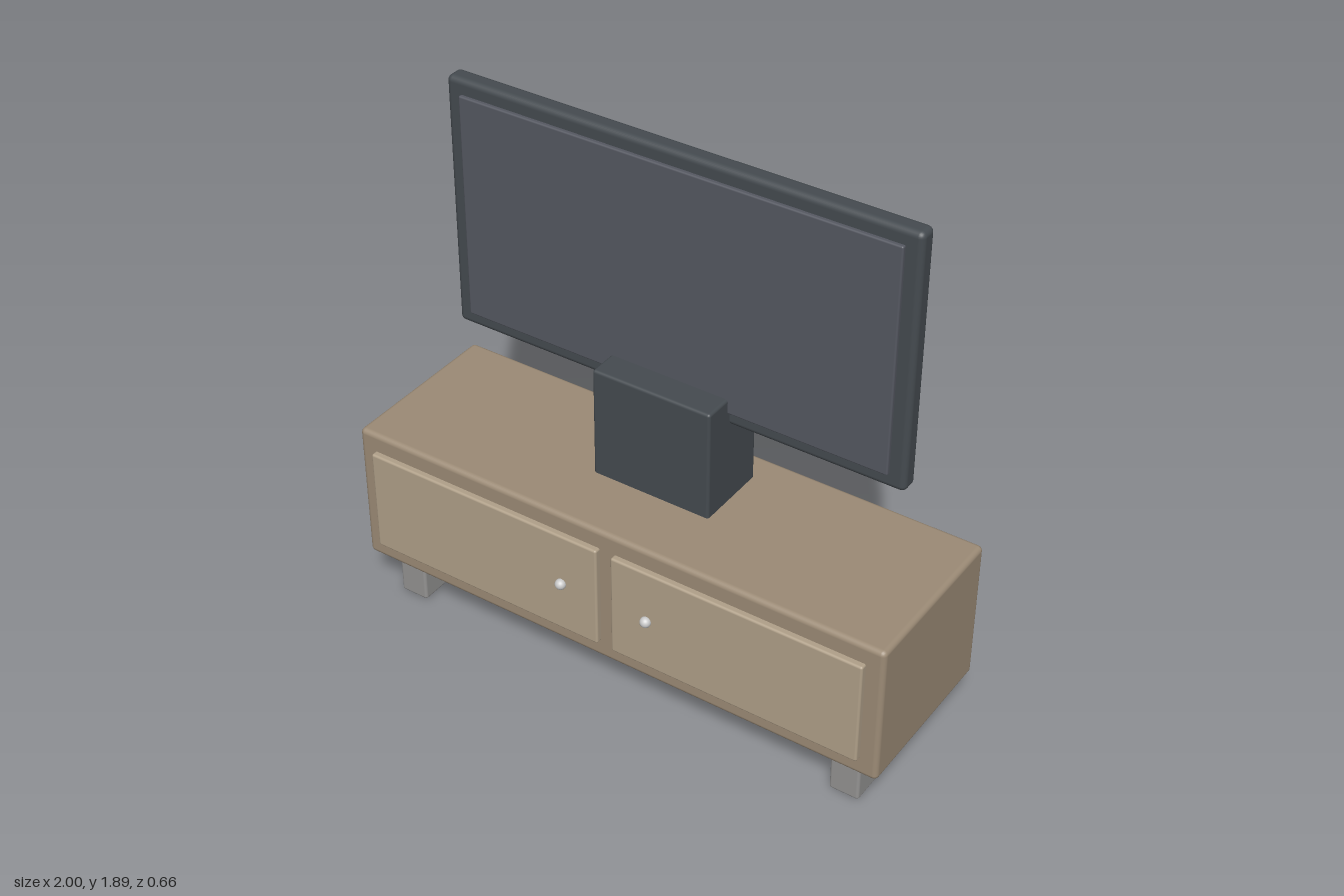
import * as THREE from 'three';
import { RoundedBoxGeometry } from 'three/addons/geometries/RoundedBoxGeometry.js';

const material = (color) => new THREE.MeshStandardMaterial({ color });

export function createModel() {
  const model = new THREE.Group();
  const wood = material(0x9c8b76);
  const doorWood = material(0xb0a089);
  const darkPlastic = material(0x454b50);
  const glass = material(0x555861);
  const footGrey = material(0x949392);
  const knobGrey = material(0xcccccc);

  // Rounded box given by its extents along each axis
  function block(name, mat, [x0, x1], [y0, y1], [z0, z1], radius) {
    const geometry = new RoundedBoxGeometry(x1 - x0, y1 - y0, z1 - z0, 3, radius);
    const mesh = new THREE.Mesh(geometry, mat);
    mesh.name = name;
    mesh.position.set((x0 + x1) / 2, (y0 + y1) / 2, (z0 + z1) / 2);
    model.add(mesh);
    return mesh;
  }

  // Cabinet body
  block('cabinet', wood, [-1, 1], [0.17, 0.69], [-0.331, 0.285], 0.018);

  // Mirrored doors, knobs and runner feet
  for (const [label, side] of [['left', 1], ['right', -1]]) {
    const span = (a, b) => (side > 0 ? [a, b] : [-b, -a]);
    block(label + 'Door', doorWood, span(0.027, 0.938), [0.238, 0.622], [0.262, 0.307], 0.008);
    block(label + 'Foot', footGrey, span(0.808, 0.915), [0, 0.17], [-0.277, 0.232], 0.01);

    const knob = new THREE.Mesh(new THREE.SphereGeometry(0.019, 24, 16), knobGrey);
    knob.name = label + 'Knob';
    knob.position.set(side * 0.165, 0.43, 0.312);
    model.add(knob);
  }

  // Television on its block stand
  block('stand', darkPlastic, [-0.22, 0.22], [0.68, 1.09], [-0.229, 0.042], 0.01);
  block('televisionBody', darkPlastic, [-0.84, 0.84], [0.985, 1.89], [-0.141, -0.073], 0.02);
  block('screen', glass, [-0.785, 0.785], [1.037, 1.838], [-0.095, -0.06], 0.006);

  return model;
}
